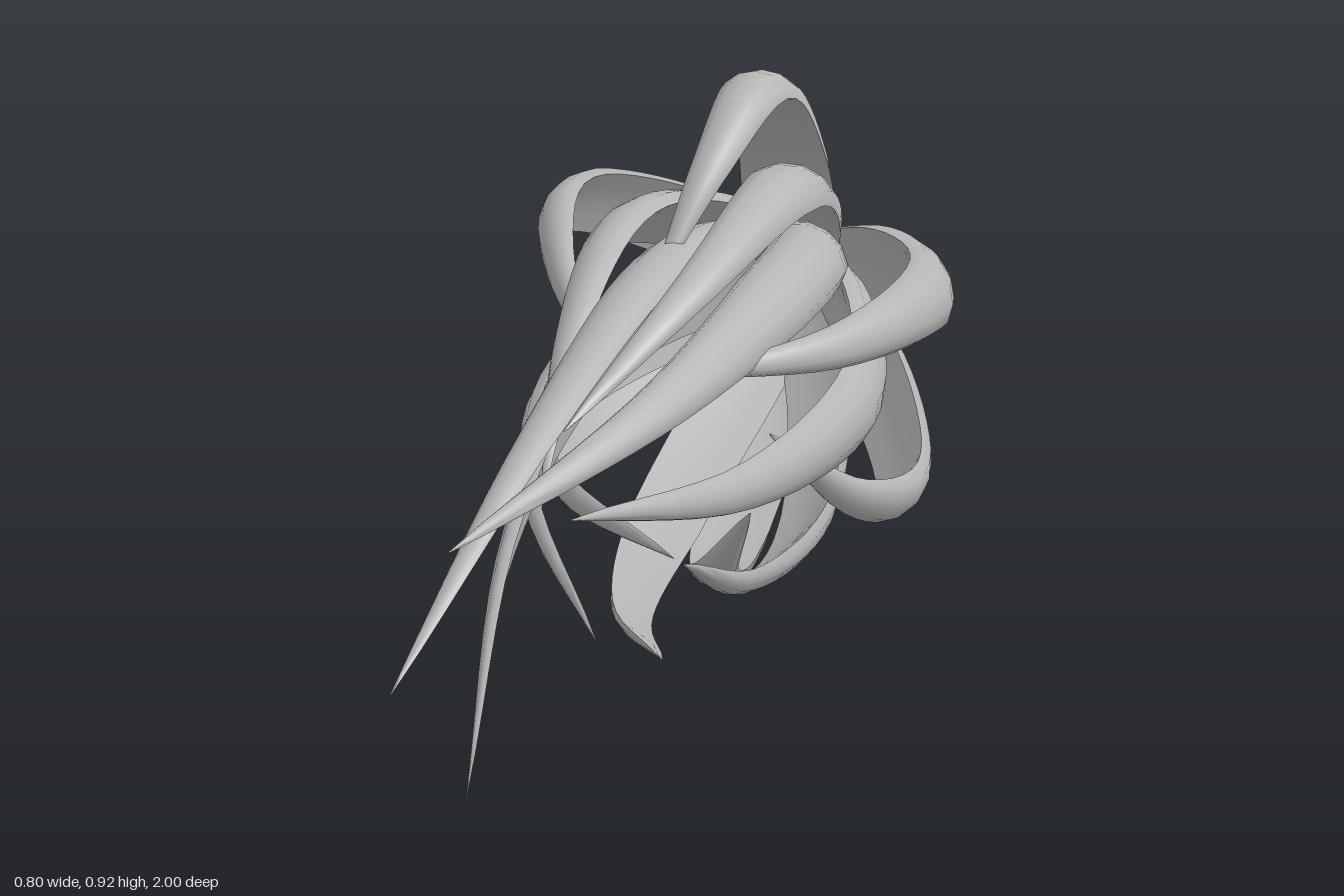
import * as THREE from 'three';
import { toCreasedNormals } from 'three/addons/utils/BufferGeometryUtils.js';

const grey = new THREE.MeshStandardMaterial({ color: 0xb6b6b6, side: THREE.DoubleSide });
grey.name = 'grey';

const HUB = new THREE.Vector3(0.005, 0.425, 0);

// Crescent cross-section: u across the width (-1..1), v outward, as fractions of half width
const SECTION = [
  [-1, -0.34], [-0.9, 0.04], [-0.5, 0.32], [0, 0.42], [0.5, 0.32], [0.9, 0.04], [1, -0.34],
  [0.5, -0.28], [0, -0.24], [-0.5, -0.28],
];

// Half width along the strand: broad at the root, needle at the tip
function halfWidth(t, root, mid) {
  if (t < 0.45) return THREE.MathUtils.lerp(root, mid, t / 0.45);
  return mid * Math.pow(1 - (t - 0.45) / 0.55, 0.85) + 0.001;
}

// A blade that leaves the hub, swells out to its crest and sweeps inward to its tip
function strandGeometry(rootZ, crest, tip, rootHalf, midHalf, swell) {
  const out = new THREE.Vector3(crest.x - HUB.x, crest.y - HUB.y, 0).normalize();
  const side = new THREE.Vector3(out.y, -out.x, 0);
  const root = HUB.clone().addScaledVector(out, 0.062).setZ(rootZ);
  const mix = (a, b, kr, kz) => new THREE.Vector3(
    a.x + (b.x - a.x) * kr, a.y + (b.y - a.y) * kr, a.z + (b.z - a.z) * kz);
  const curve = new THREE.CatmullRomCurve3([
    root, mix(root, crest, swell, 0.3), crest, mix(crest, tip, 0.33, 0.58), tip,
  ], false, 'centripetal');

  const steps = 24, n = SECTION.length, pos = [], index = [];
  for (let i = 0; i <= steps; i++) {
    const t = i / steps, p = curve.getPointAt(t), dir = curve.getTangentAt(t);
    const across = side.clone().addScaledVector(dir, -side.dot(dir)).normalize();
    const up = new THREE.Vector3().crossVectors(dir, across);
    const h = halfWidth(t, rootHalf, midHalf);
    for (const [u, v] of SECTION) {
      const q = p.clone().addScaledVector(across, u * h).addScaledVector(up, v * h);
      pos.push(q.x, q.y, q.z);
    }
  }
  for (let i = 0; i < steps; i++) for (let j = 0; j < n; j++) {
    const a = i * n + j, b = i * n + (j + 1) % n;
    index.push(a, a + n, b, b, a + n, b + n);
  }
  // root cap
  for (let j = 1; j < n - 1; j++) index.push(0, j, j + 1);
  const g = new THREE.BufferGeometry();
  g.setAttribute('position', new THREE.Float32BufferAttribute(pos, 3));
  g.setIndex(index);
  return toCreasedNormals(g, 0.8);
}

// [root z, crest x y z, tip x y z, root half width, middle half width]
const INNER = [
  [-0.92, 0.15, 0.64, -0.25, -0.10, 0.55, 0.84, 0.085, 0.068],
  [-0.92, -0.095, 0.645, -0.25, -0.14, 0.40, 0.97, 0.085, 0.063],
  [-0.92, -0.195, 0.475, -0.25, -0.03, 0.28, 1.00, 0.085, 0.056],
  [-0.92, -0.085, 0.152, -0.25, 0.14, 0.33, 0.65, 0.085, 0.066],
  [-0.92, 0.19, 0.2, -0.22, 0.17, 0.48, 0.65, 0.085, 0.062],
  [-0.92, 0.285, 0.455, -0.15, 0.06, 0.60, 0.81, 0.085, 0.07],
];
const MIDDLE = [
  [-0.93, 0.105, 0.775, -0.30, -0.07, 0.57, 0.42, 0.088, 0.066],
  [-0.93, -0.195, 0.68, -0.35, -0.13, 0.43, 0.35, 0.088, 0.066],
  [-0.93, -0.295, 0.38, -0.25, 0.00, 0.27, 0.50, 0.088, 0.066],
];
const OUTER = [
  [-0.965, 0.00, 0.893, -0.58, -0.10, 0.60, -0.20, 0.105, 0.072],
  [-0.93, -0.362, 0.663, -0.55, -0.17, 0.48, -0.12, 0.09, 0.07],
  [-0.93, -0.365, 0.245, -0.48, 0.03, 0.26, 0.15, 0.09, 0.07],
  [-0.93, -0.005, 0.032, -0.38, 0.15, 0.34, 0.12, 0.09, 0.072],
  [-0.93, 0.335, 0.2, -0.40, 0.18, 0.48, 0.12, 0.09, 0.07],
  [-0.93, 0.365, 0.572, -0.42, 0.05, 0.60, 0.23, 0.09, 0.068],
];

export function createModel() {
  const model = new THREE.Group();
  model.name = 'strandTuft';
  for (const [name, list, swell] of [
    ['innerStrand', INNER, 0.5], ['middleStrand', MIDDLE, 0.54], ['outerStrand', OUTER, 0.57],
  ]) {
    list.forEach(([rz, cx, cy, cz, tx, ty, tz, rh, mh], i) => {
      const crest = new THREE.Vector3(cx, cy, cz), tip = new THREE.Vector3(tx, ty, tz);
      const mesh = new THREE.Mesh(strandGeometry(rz, crest, tip, rh, mh, swell), grey);
      mesh.name = name + (i + 1);
      model.add(mesh);
    });
  }

  // shallow faceted cone closing the ring of roots, hollow side to the front
  const hub = new THREE.Mesh(toCreasedNormals(new THREE.ConeGeometry(0.075, 0.03, 6, 1, true), 0.1), grey);
  hub.name = 'hub';
  hub.rotation.x = -Math.PI / 2;
  hub.position.set(HUB.x, HUB.y, -0.915);
  model.add(hub);
  return model;
}
